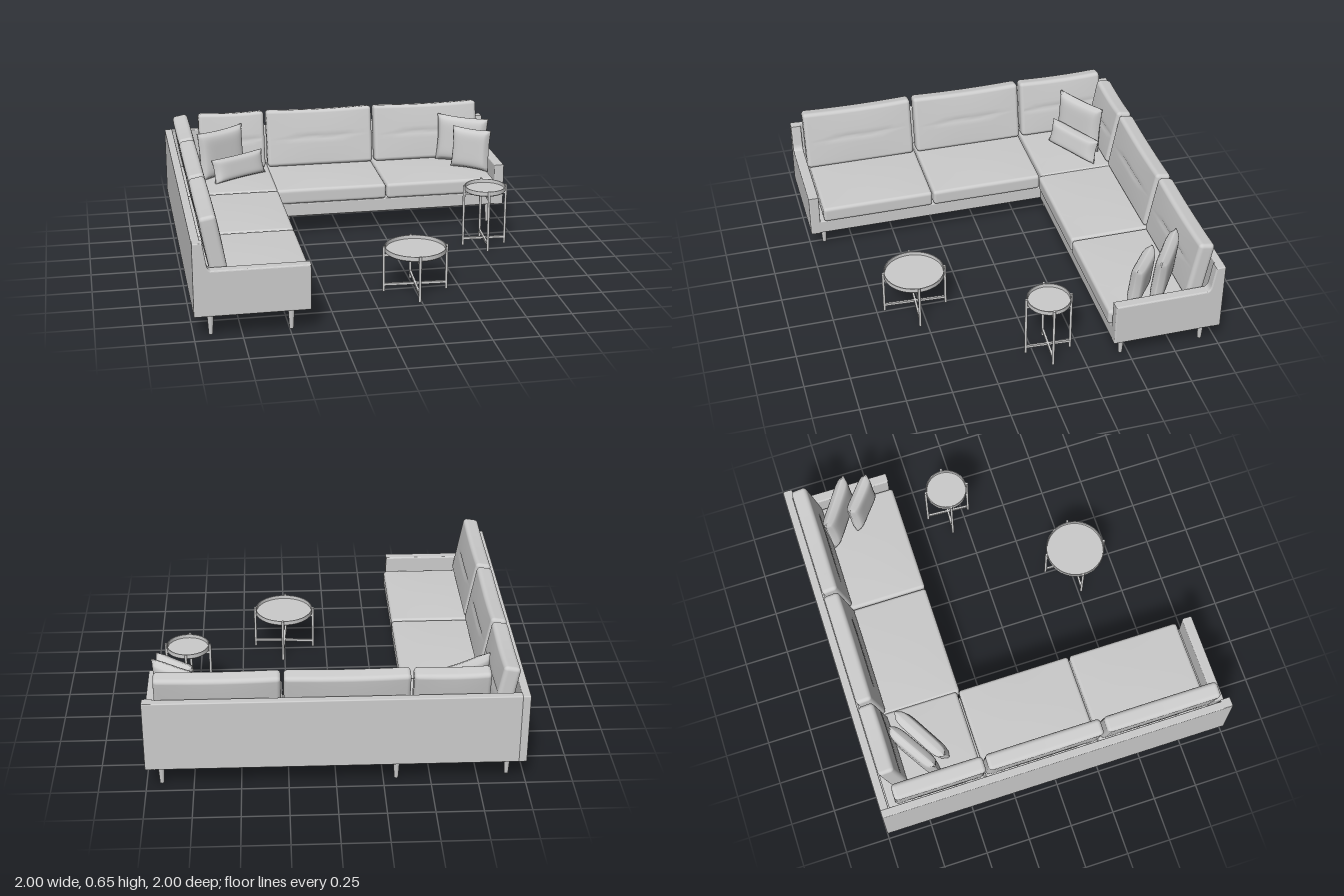
import * as THREE from 'three';
import { mergeVertices } from 'three/addons/utils/BufferGeometryUtils.js';
import { RoundedBoxGeometry } from 'three/addons/geometries/RoundedBoxGeometry.js';

const material = new THREE.MeshStandardMaterial({ color: 0xcccccc, side: THREE.DoubleSide });

function add(parent, name, geometry, x = 0, y = 0, z = 0) {
  const mesh = new THREE.Mesh(geometry, material);
  mesh.name = name;
  mesh.position.set(x, y, z);
  parent.add(mesh);
  return mesh;
}

// Box grid on [-1, 1], moved vertex by vertex, then smoothed over its edges
function softBox(nx, ny, nz, move) {
  let g = new THREE.BoxGeometry(2, 2, 2, nx, ny, nz);
  const p = g.attributes.position, v = new THREE.Vector3();
  for (let i = 0; i < p.count; i++) {
    v.fromBufferAttribute(p, i);
    move(v);
    p.setXYZ(i, v.x, v.y, v.z);
  }
  g.deleteAttribute('uv');
  g.deleteAttribute('normal');
  g = mergeVertices(g, 1e-5);
  g.computeVertexNormals();
  return g;
}

// Rounded upholstery cushion, facing +z; crease presses a short seam into the front
function cushion(w, h, d, r, { puffY = 0, puffZ = 0, crease = 0, sag = 0 } = {}) {
  const N = 16, edge = 3, core = N / 2 - edge;
  // Three grid steps round each edge, the rest gather towards the middle
  const remap = (t, half) => {
    const k = Math.abs(t) * N / 2, s = Math.sign(t);
    return k <= core + 1e-6
      ? s * (half - r) * Math.pow(k / core, 1.5)
      : s * (half - r + r * Math.tan((k - core) / edge * Math.PI / 4));
  };
  return softBox(N, N, N, (v) => {
    v.set(remap(v.x, w / 2), remap(v.y, h / 2), remap(v.z, d / 2));
    const c = new THREE.Vector3(
      THREE.MathUtils.clamp(v.x, r - w / 2, w / 2 - r),
      THREE.MathUtils.clamp(v.y, r - h / 2, h / 2 - r),
      THREE.MathUtils.clamp(v.z, r - d / 2, d / 2 - r));
    v.sub(c).setLength(r).add(c);
    const a = 1 - (2 * v.x / w) ** 2, b = 1 - (2 * v.y / h) ** 2, e = 1 - (2 * v.z / d) ** 2;
    const fy = 2 * v.y / h, fz = 2 * v.z / d;
    const dent = fz > 0.9 && Math.abs(v.x) < 0.33 * w ? crease * Math.exp(-((v.y / 0.008) ** 2)) : 0;
    v.y += puffY * a * e * fy - (fy > 0 ? sag * a * fy : 0);
    v.z += puffZ * a * b * fz - dent;
  });
}

// Throw pillow with pinched sides and pointed corners
function pillow(w, h, t) {
  return softBox(20, 20, 4, (v) => {
    const { x, y, z } = v;
    const full = Math.sqrt(Math.max(0, (1 - x ** 6) * (1 - y ** 6)));
    v.set(w / 2 * x * (1 - 0.06 * (1 - y * y)), h / 2 * y * (1 - 0.06 * (1 - x * x)),
      t / 2 * z * (0.12 + 0.88 * full));
  });
}

// Arm panel whose top sweeps up to meet the back
function arm(parent, x) {
  const b = 0.008, s = new THREE.Shape();
  s.moveTo(-0.99, 0.13 + b);
  s.lineTo(-0.395 - b, 0.13 + b);
  s.lineTo(-0.395 - b, 0.38 - b);
  s.lineTo(-0.91, 0.38 - b);
  s.quadraticCurveTo(-0.93, 0.38, -0.936, 0.41);
  s.lineTo(-0.953, 0.53 - b);
  s.lineTo(-0.99, 0.53 - b);
  const g = new THREE.ExtrudeGeometry(s, { depth: 0.042, bevelSize: b, bevelThickness: b, bevelSegments: 3, curveSegments: 6 });
  g.translate(0, 0, -0.021).rotateY(-Math.PI / 2);
  add(parent, 'arm', g, x);
}

// One run of the sofa along x, its back at z = -1; spans are [from, to] along x
function wing(name, { base, wall, seats, backs, armX }) {
  const g = new THREE.Group();
  g.name = name;
  const mid = ([a, b]) => (a + b) / 2, len = ([a, b]) => b - a;
  add(g, 'baseFrame', new RoundedBoxGeometry(len(base), 0.08, 0.6, 2, 0.006), mid(base), 0.17, -0.695);
  add(g, 'backPanel', new RoundedBoxGeometry(len(wall), 0.4, 0.045, 2, 0.006), mid(wall), 0.33, -0.9775);
  for (const s of seats) {
    add(g, 'seatCushion', cushion(len(s), 0.09, 0.57, 0.018, { puffY: 0.008 }), mid(s), 0.258, -0.664);
  }
  for (const s of backs) {
    const m = add(g, 'backCushion',
      cushion(len(s), 0.35, 0.09, 0.022, { puffZ: 0.006, crease: 0.007, sag: 0.007 }), mid(s), 0.474, -0.882);
    m.rotation.x = -0.18;
  }
  arm(g, armX);
  return g;
}

// Tray table with four posts and crossed rails
function trayTable(name, x, z, radius, height) {
  const g = new THREE.Group();
  g.name = name;
  g.position.set(x, 0, z);
  g.rotation.y = -0.06;
  const tray = [[0, -0.03], [radius - 0.006, -0.03], [radius, -0.024], [radius, 0], [radius - 0.005, 0],
    [radius - 0.006, -0.02], [0, -0.02]].map(([a, b]) => new THREE.Vector2(a, b));
  const trayMesh = add(g, 'tray', new THREE.LatheGeometry(tray, 48).toNonIndexed(), 0, height - 0.004, 0);
  trayMesh.geometry.computeVertexNormals();
  const post = radius + 0.004;
  for (let i = 0; i < 4; i++) {
    const a = i * Math.PI / 2;
    add(g, 'post', new THREE.CylinderGeometry(0.0075, 0.0075, height, 12),
      Math.cos(a) * post, height / 2, Math.sin(a) * post);
  }
  for (const y of [0.04, height - 0.05]) {
    add(g, 'railAcross', new THREE.BoxGeometry(post * 2, 0.014, 0.012), 0, y, 0);
    add(g, 'railDeep', new THREE.BoxGeometry(0.012, 0.014, post * 2), 0, y, 0);
  }
  return g;
}

export function createModel() {
  const model = new THREE.Group();
  model.name = 'cornerSofaSet';

  model.add(wing('backWing', {
    base: [-0.392, 0.99], wall: [-0.96, 1],
    seats: [[-0.387, 0.27], [0.275, 0.932]],
    backs: [[-0.8, -0.4], [-0.385, 0.27], [0.285, 0.938]],
    armX: 0.971,
  }));
  // The side wing is the same run turned a quarter; its x runs along -z
  const side = wing('sideWing', {
    base: [-0.99, 0.99], wall: [-1, 1],
    seats: [[-0.92, -0.272], [-0.265, 0.387], [0.397, 0.95]],
    backs: [[-0.935, -0.285], [-0.265, 0.385], [0.4, 0.91]],
    armX: -0.971,
  });
  side.rotation.y = Math.PI / 2;
  model.add(side);

  // Tapered sofa legs
  const legSpots = [[0.92, -0.92], [0.92, -0.46], [-0.32, -0.92], [-0.32, -0.46], [-0.49, -0.455],
    [-0.91, -0.9], [-0.91, -0.3], [-0.49, 0.915], [-0.91, 0.915]];
  for (const [x, z] of legSpots) {
    add(model, 'sofaLeg', new THREE.CylinderGeometry(0.019, 0.011, 0.135, 16), x, 0.0675, z);
  }

  // Throw pillows: x, y, z, width, height, yaw, backward lean
  const pillows = [
    [-0.68, 0.45, -0.725, 0.33, 0.29, 0.55, 0.1],
    [-0.585, 0.376, -0.66, 0.37, 0.145, 0.52, 0.25],
    [0.815, 0.45, -0.725, 0.33, 0.29, -0.59, 0.1],
    [0.838, 0.432, -0.585, 0.25, 0.255, -0.67, 0.1],
  ];
  for (const [x, y, z, w, h, yaw, lean] of pillows) {
    const m = add(model, 'throwPillow', pillow(w, h, 0.08), x, y, z);
    m.rotation.set(-lean, yaw, 0, 'YXZ');
  }

  model.add(trayTable('lowTable', 0.25, 0.53, 0.17, 0.262));
  model.add(trayTable('tallTable', 0.8, -0.085, 0.12, 0.368));
  return model;
}
